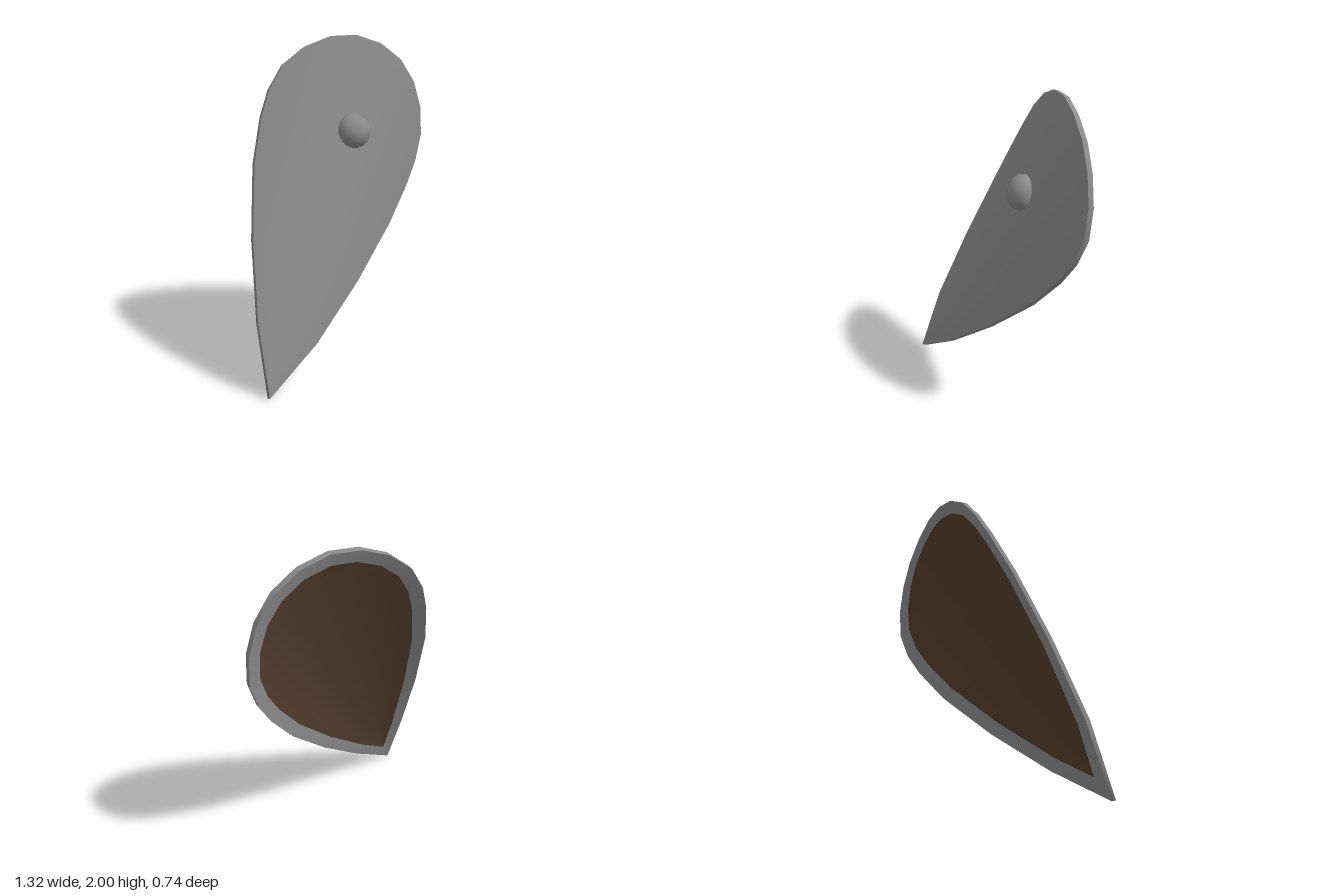
import * as THREE from 'three';

// Half outline of the shield, tip to top: [half width, distance along the axis]
const HALF = [
  [0, 0], [0.2, 0.382], [0.372, 0.83], [0.5, 1.266], [0.549, 1.553], [0.56, 1.734],
  [0.535, 1.91], [0.452, 2.068], [0.329, 2.192], [0.177, 2.272], [0, 2.299],
];
const THICK = 0.033;
const RIM = 0.075;
const COLUMNS = 12;

// A point on the curved shell, sunk by depth behind the front surface
const shell = (x, t, depth) => [x, t, -(0.66 - 0.14 * t) * x * x - depth];

// Half outline moved inward by a constant distance
function insetHalf(half, d) {
  const last = half.length - 1;
  const normal = (a, b) => new THREE.Vector2(a[1] - b[1], b[0] - a[0]).normalize(); // inward
  return half.map((p, i) => {
    const prev = i > 0 ? half[i - 1] : [-half[1][0], half[1][1]];
    const next = i < last ? half[i + 1] : [-half[last - 1][0], half[last - 1][1]];
    const n1 = normal(prev, p), n2 = normal(p, next);
    const m = n1.clone().add(n2).normalize();
    m.multiplyScalar(d / m.dot(n1));
    const onAxis = i === 0 || i === last;
    return [onAxis ? 0 : p[0] + m.x, p[1] + m.y];
  });
}

// Closed loop: up one side, down the other
function loop(half, depth) {
  const mirrored = half.slice(1, -1).reverse().map(([x, t]) => [-x, t]);
  return [...half, ...mirrored].map(([x, t]) => shell(x, t, depth));
}

function build(points, index) {
  const g = new THREE.BufferGeometry();
  g.setAttribute('position', new THREE.Float32BufferAttribute(points.flat(), 3));
  g.setIndex(index);
  g.computeVertexNormals();
  return g;
}

// Curved sheet filling a half outline and its mirror image
function sheet(half, depth, facesBack) {
  const points = [], index = [], w = COLUMNS + 1;
  half.forEach(([h, t], r) => {
    for (let c = 0; c <= COLUMNS; c++) points.push(shell(h * (2 * c / COLUMNS - 1), t, depth));
    if (r === 0) return;
    for (let c = 0; c < COLUMNS; c++) {
      const a = (r - 1) * w + c, b = a + 1, d = a + w, e = d + 1;
      if (facesBack) index.push(a, e, b, a, d, e);
      else index.push(a, b, e, a, e, d);
    }
  });
  return build(points, index);
}

// Band joining two closed loops
function band(A, B) {
  const n = A.length, index = [];
  for (let i = 0; i < n; i++) {
    const j = (i + 1) % n;
    index.push(i, j, n + j, i, n + j, n + i);
  }
  return build([...A, ...B], index);
}

export function createModel() {
  const steel = new THREE.MeshStandardMaterial({ color: 0x8a8a8a });
  steel.name = 'steel grey';
  const wood = new THREE.MeshStandardMaterial({ color: 0x523d2d });
  wood.name = 'dark brown';

  const shield = new THREE.Group();
  shield.name = 'shield';
  const add = (name, geometry, material) => {
    const mesh = new THREE.Mesh(geometry, material);
    mesh.name = name;
    shield.add(mesh);
    return mesh;
  };

  const inner = insetHalf(HALF, RIM);
  const frontLoop = loop(HALF, 0), backLoop = loop(HALF, THICK);

  add('frontFace', sheet(HALF, 0, false), steel);
  add('edge', band(backLoop, frontLoop), steel);
  add('backRim', band(loop(inner, THICK), backLoop), steel);
  add('backPanel', sheet(inner, THICK, true), wood);

  // Flattened dome on the front
  const dome = new THREE.SphereGeometry(0.107, 32, 14, 0, Math.PI * 2, 0, Math.PI * 0.55);
  dome.rotateX(Math.PI / 2);
  dome.scale(1, 1, 0.84);
  add('boss', dome, steel).position.set(0, 1.68, 0);

  // Lean the shield: its point is forward and to one side
  const up = new THREE.Vector3(1.015, 1.94, -0.7).normalize();
  const out = new THREE.Vector3(0.118, 0.282, 0.952);
  const side = up.clone().cross(out).normalize();
  out.crossVectors(side, up);
  shield.quaternion.setFromRotationMatrix(new THREE.Matrix4().makeBasis(side, up, out));
  shield.position.set(-0.65, 0.01, 0.365);

  const model = new THREE.Group();
  model.name = 'kiteShield';
  model.add(shield);
  return model;
}
